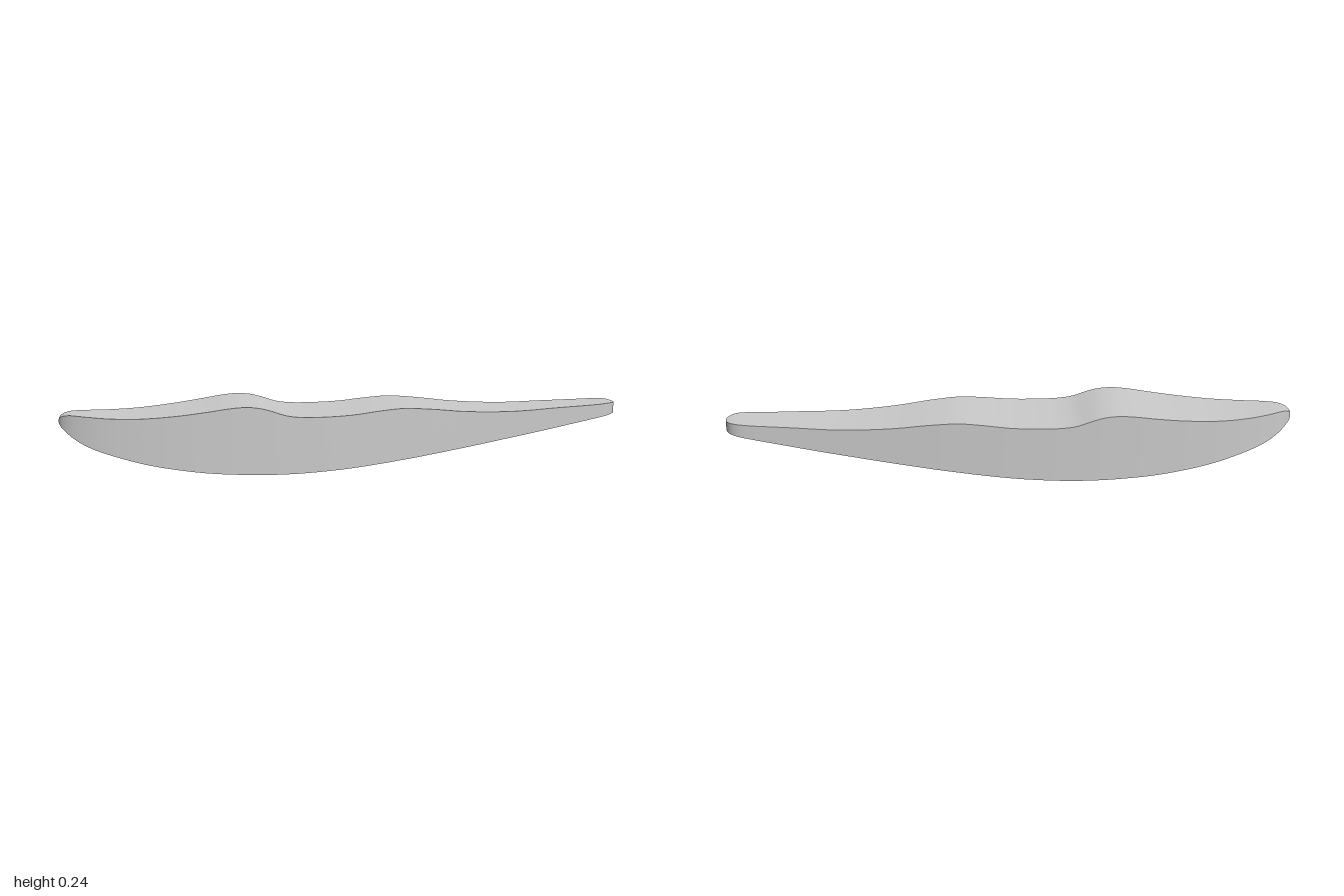
import * as THREE from 'three';
import { mergeGeometries } from 'three/addons/utils/BufferGeometryUtils.js';

// Smooth curve through [x, value] pairs, spaced by angle so the ends can be round
const angle = x => Math.acos(THREE.MathUtils.clamp(-x, -1, 1));
function curve(points) {
  const c = new THREE.CubicInterpolant(points.map(p => angle(p[0])), points.map(p => p[1]), 1);
  return t => c.evaluate(t)[0];
}

// Side profile: upper and lower edge heights
const topY = curve([[-1, 0.187], [-0.99, 0.203], [-0.96, 0.21], [-0.9, 0.207], [-0.83, 0.203], [-0.72, 0.203],
  [-0.6, 0.212], [-0.5, 0.224], [-0.42, 0.235], [-0.37, 0.238], [-0.32, 0.233], [-0.28, 0.222], [-0.23, 0.205],
  [-0.18, 0.198], [-0.1, 0.196], [0, 0.199], [0.1, 0.209], [0.18, 0.214], [0.28, 0.207], [0.4, 0.193],
  [0.5, 0.186], [0.6, 0.183], [0.75, 0.187], [0.9, 0.191], [0.97, 0.194], [1, 0.19]]);
const bottomY = curve([[-1, 0.183], [-0.98, 0.155], [-0.95, 0.13], [-0.9, 0.102], [-0.8, 0.068], [-0.7, 0.042],
  [-0.6, 0.024], [-0.5, 0.011], [-0.4, 0.004], [-0.3, 0], [-0.2, 0], [-0.1, 0.004], [0, 0.011], [0.2, 0.033],
  [0.4, 0.06], [0.6, 0.09], [0.8, 0.122], [0.9, 0.139], [0.97, 0.151], [1, 0.156]]);

// Plan outline: half width and centre line
const halfWidth = curve([[-1, 0], [-0.98, 0.032], [-0.95, 0.051], [-0.9, 0.072], [-0.8, 0.099], [-0.7, 0.117],
  [-0.6, 0.13], [-0.4, 0.146], [-0.2, 0.151], [0, 0.146], [0.2, 0.133], [0.4, 0.115], [0.6, 0.096],
  [0.8, 0.076], [0.9, 0.067], [0.95, 0.06], [0.98, 0.045], [0.995, 0.023], [1, 0]]);
const centreZ = x => -0.009 * THREE.MathUtils.smoothstep(x, -0.3, 0.9);

// Band of quads between two rows of points
function band(a, b) {
  const n = a.length, index = [];
  for (let i = 0; i < n - 1; i++) index.push(i, i + 1, n + i + 1, i, n + i + 1, n + i);
  const g = new THREE.BufferGeometry().setFromPoints([...a, ...b]);
  g.setIndex(index);
  g.computeVertexNormals();
  return g;
}

export function createModel() {
  const steps = 160;
  const edge = (height, side) => Array.from({ length: steps + 1 }, (_, i) => {
    const t = Math.PI * i / steps, x = -Math.cos(t);
    return new THREE.Vector3(x, height(t), centreZ(x) + side * halfWidth(t));
  });
  const topFront = edge(topY, 1), topBack = edge(topY, -1);
  const lowFront = edge(bottomY, 1), lowBack = edge(bottomY, -1);

  // Side wall runs along the front, round the blunt end and back again
  const around = (front, back) => [...front, ...back.slice(0, -1).reverse()];
  const hull = mergeGeometries([
    band(topFront, topBack),
    band(lowBack, lowFront),
    band(around(lowFront, lowBack), around(topFront, topBack)),
  ]);

  const body = new THREE.Mesh(hull, new THREE.MeshStandardMaterial({ color: 0xcccccc }));
  body.name = 'taperedBody';
  const group = new THREE.Group();
  group.name = 'contouredHandle';
  group.add(body);
  return group;
}
